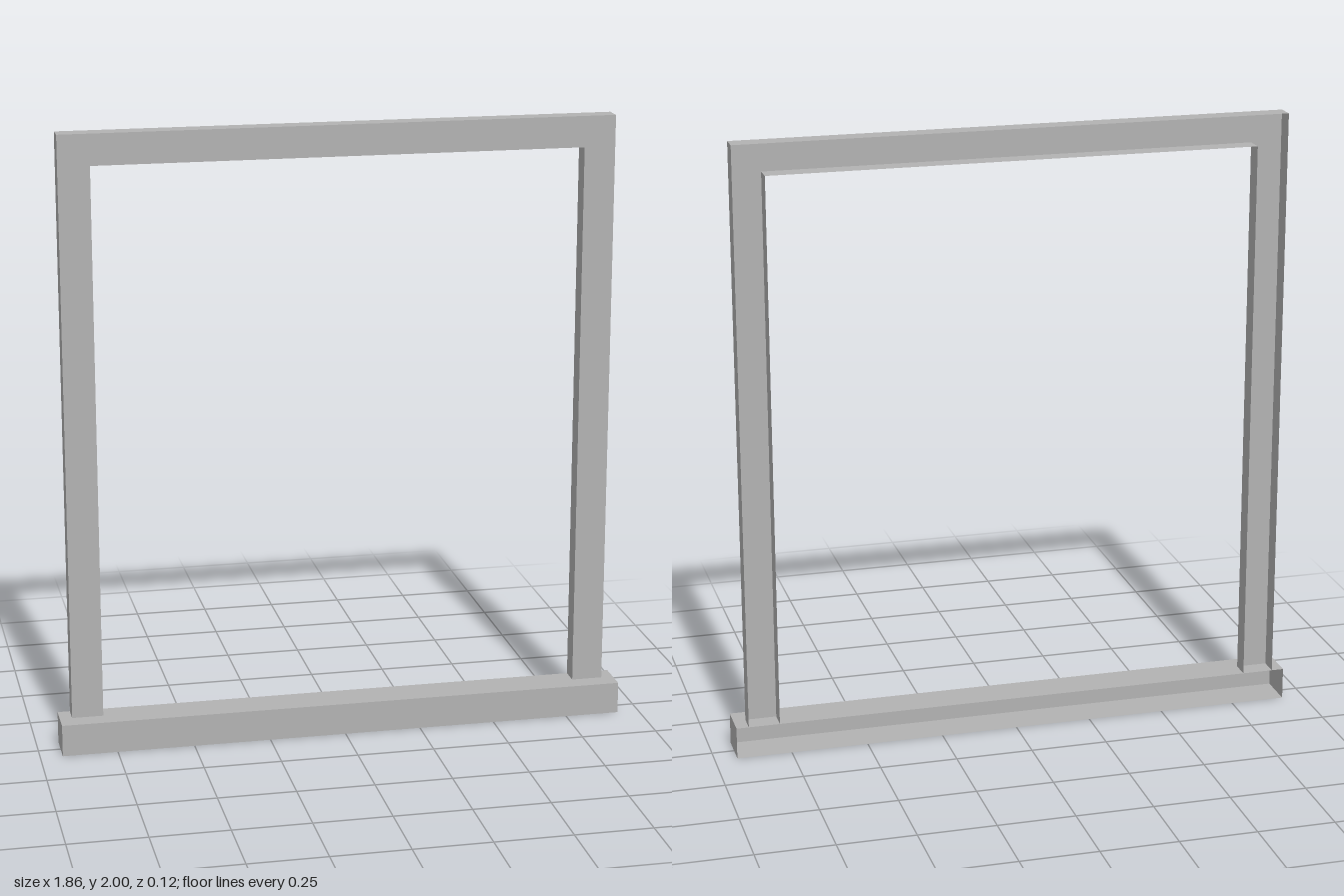
import * as THREE from 'three';

const BACK = -0.062;

export function createModel() {
  const model = new THREE.Group();
  const grey = new THREE.MeshStandardMaterial({ color: 0xb2b2b2, side: THREE.DoubleSide });
  grey.name = 'plain grey';

  const add = (parent, name, geometry) => {
    const mesh = new THREE.Mesh(geometry, grey);
    mesh.name = name;
    parent.add(mesh);
  };

  // Thin sheet running back from a front edge, from point a to point b
  const wall = (parent, name, [ax, ay], [bx, by], front) => {
    const geometry = new THREE.PlaneGeometry(Math.hypot(bx - ax, by - ay), front - BACK);
    geometry.rotateX(-Math.PI / 2);
    geometry.rotateZ(Math.atan2(by - ay, bx - ax));
    geometry.translate((ax + bx) / 2, (ay + by) / 2, (front + BACK) / 2);
    add(parent, name, geometry);
  };

  // Sheet-metal moulding: a front face with edges folded back, open behind.
  // Edges without a name stay open; points run clockwise.
  const moulding = (name, points, edgeNames, front) => {
    const group = new THREE.Group();
    group.name = name;
    const shape = new THREE.Shape(points.map(([x, y]) => new THREE.Vector2(x, y)));
    add(group, name + 'Face', new THREE.ShapeGeometry(shape).translate(0, 0, front));
    edgeNames.forEach((edge, i) => {
      if (edge) wall(group, edge, points[i], points[(i + 1) % points.length], front);
    });
    model.add(group);
  };

  // Sill: full-width box, open at the back
  const sillX = 0.928, sillTop = 0.104;
  moulding('sill',
    [[-sillX, 0], [-sillX, sillTop], [sillX, sillTop], [sillX, 0]],
    ['sillRightEnd', 'sillTop', 'sillLeftEnd', 'sillBottom'], 0.062);

  // Surround: two jambs and a head, standing on the rear half of the sill
  const outX = 0.888, inX = 0.787, head = 1.9;
  moulding('surround',
    [[-outX, sillTop], [-outX, 2], [outX, 2], [outX, sillTop],
      [inX, sillTop], [inX, head], [-inX, head], [-inX, sillTop]],
    ['rightOuterSide', 'headTop', 'leftOuterSide', null,
      'leftReveal', 'headReveal', 'rightReveal', null], 0);

  return model;
}
